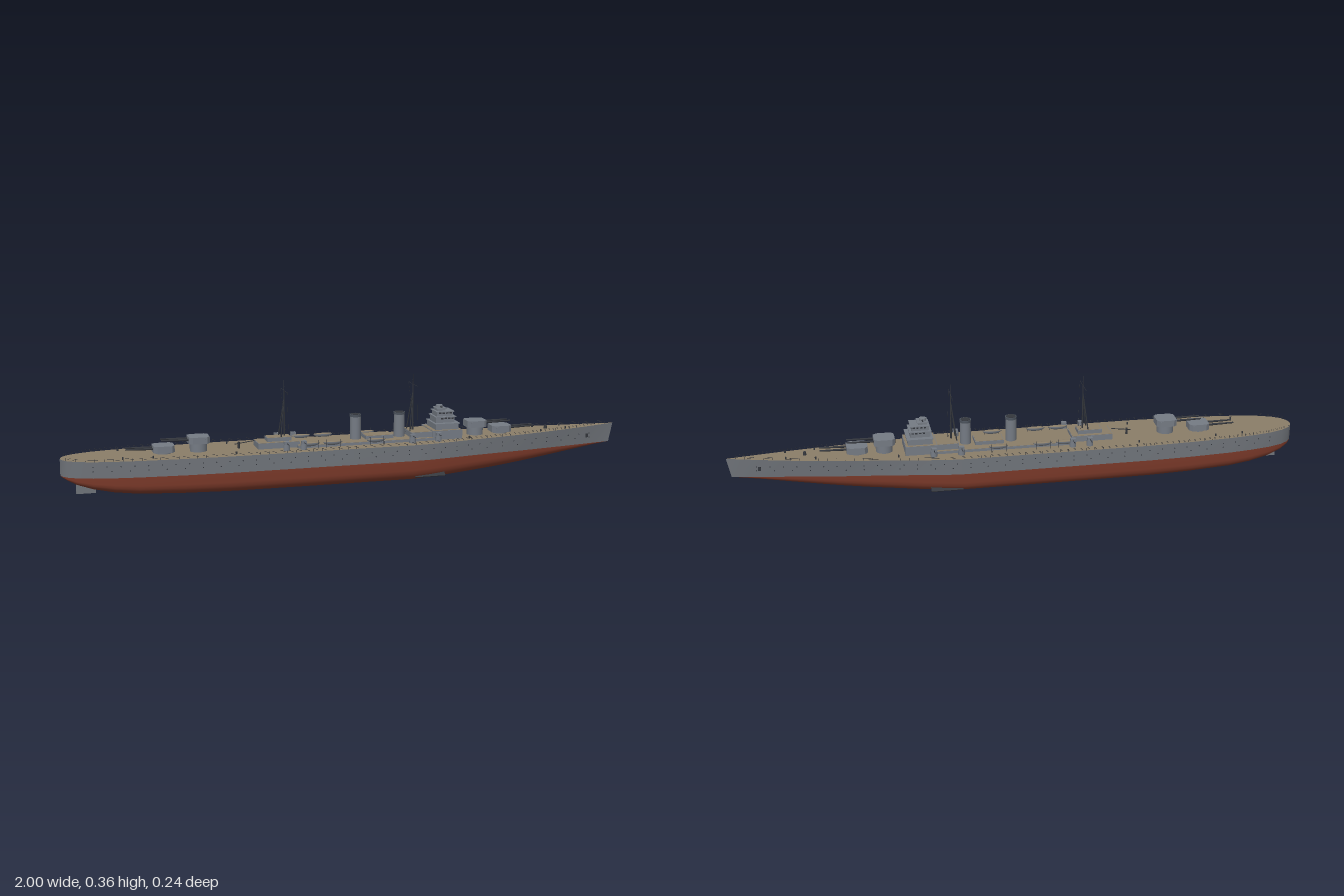
import * as THREE from 'three';
import { mergeGeometries } from 'three/addons/utils/BufferGeometryUtils.js';

const WL = 0.077;
// Hull stations: x, half width at deck, half width at waterline, keel height
const ST = [
  [-1, 0, 0, 0.077], [-0.995, 0.022, 0.02, 0.073], [-0.98, 0.043, 0.04, 0.064], [-0.95, 0.063, 0.06, 0.049],
  [-0.9, 0.081, 0.078, 0.033], [-0.83, 0.094, 0.092, 0.019], [-0.75, 0.104, 0.103, 0.01], [-0.6, 0.114, 0.114, 0.004],
  [-0.45, 0.12, 0.12, 0.001], [-0.2, 0.12, 0.12, 0], [0.2, 0.12, 0.12, 0], [0.26, 0.116, 0.115, 0.002],
  [0.34, 0.105, 0.103, 0.005], [0.42, 0.092, 0.089, 0.01], [0.52, 0.08, 0.075, 0.018], [0.62, 0.069, 0.062, 0.029],
  [0.7, 0.057, 0.049, 0.039], [0.78, 0.044, 0.036, 0.05], [0.86, 0.029, 0.022, 0.061], [0.94, 0.013, 0.009, 0.071],
  [1, 0, 0, 0.077]];

function station(x) {
  let i = 0;
  while (i < ST.length - 2 && ST[i + 1][0] < x) i++;
  const t = (x - ST[i][0]) / (ST[i + 1][0] - ST[i][0]);
  return ST[i].map((v, k) => v + (ST[i + 1][k] - v) * t);
}
const deckY = x => 0.133 + 0.012 * Math.max(0, (x - 0.3) / 0.7) ** 1.5;
const wlX = x => x - 0.1 * Math.max(0, x - 0.85);
const halfAt = (x, y) => {
  const s = station(x), t = (y - WL) / (deckY(x) - WL);
  return s[2] + (s[1] - s[2]) * t;
};

// Surface through cross-sections running from stern to bow
function loft(section) {
  const pos = [], idx = [];
  const rows = ST.map(section), n = rows[0].length;
  rows.forEach(r => r.forEach(p => pos.push(...p)));
  for (let i = 0; i < rows.length - 1; i++) for (let j = 0; j < n - 1; j++) {
    const a = i * n + j, b = a + n;
    idx.push(a, a + 1, b, a + 1, b + 1, b);
  }
  const g = new THREE.BufferGeometry();
  g.setAttribute('position', new THREE.Float32BufferAttribute(pos, 3));
  g.setIndex(idx);
  g.computeVertexNormals();
  return g;
}

// Cylinder between two points
function rod(a, b, r, r2 = r, sides = 6) {
  const p = new THREE.Vector3(...a), d = new THREE.Vector3(...b).sub(p);
  const g = new THREE.CylinderGeometry(r2, r, d.length(), sides);
  g.applyQuaternion(new THREE.Quaternion().setFromUnitVectors(new THREE.Vector3(0, 1, 0), d.clone().normalize()));
  const m = p.addScaledVector(d, 0.5);
  return g.translate(m.x, m.y, m.z);
}
const block = (x0, x1, y0, y1, w) =>
  new THREE.BoxGeometry(x1 - x0, y1 - y0, w * 2).translate((x0 + x1) / 2, (y0 + y1) / 2, 0);

export function createModel() {
  const ship = new THREE.Group();
  ship.name = 'warship';
  const mat = (name, color) => Object.assign(new THREE.MeshStandardMaterial({ color }), { name });
  const grey = mat('hull grey', 0x70747a), red = mat('antifouling red', 0x7c3a2a), tan = mat('deck planking', 0x8a7d68);
  const steel = mat('superstructure grey', 0x757b84), dark = mat('dark metal', 0x34373d), smoke = mat('funnel cap', 0x4b525c);
  const add = (name, geo, m, parent = ship) => {
    const mesh = new THREE.Mesh(Array.isArray(geo) ? mergeGeometries(geo) : geo, m);
    mesh.name = name;
    parent.add(mesh);
    return mesh;
  };

  // Hull sides, underwater body and deck
  add('leftTopside', loft(([x, d, w]) => [[x, deckY(x), d], [wlX(x), WL, w]]), grey);
  add('rightTopside', loft(([x, d, w]) => [[wlX(x), WL, -w], [x, deckY(x), -d]]), grey);
  add('underwaterHull', loft(([x, d, w, k]) => {
    const e = 0.5 + 0.4 * Math.max(0, (x - 0.2) / 0.8);
    return Array.from({ length: 17 }, (_, j) => {
      const c = Math.cos(j * Math.PI / 16), s = Math.sin(j * Math.PI / 16);
      return [wlX(x), WL - (WL - k) * Math.abs(s) ** e, w * Math.sign(c) * Math.abs(c) ** e];
    });
  }), red);
  add('mainDeck', loft(([x, d]) => [[x, deckY(x), -d], [x, deckY(x), d]]), tan);
  add('rudder', block(-0.95, -0.885, 0.01, 0.05, 0.004), grey);
  for (const s of [-1, 1]) {
    const fin = add('bilgeFin', new THREE.BoxGeometry(0.11, 0.003, 0.02), dark);
    fin.position.set(0.26, 0.022, s * 0.104);
    fin.rotation.x = s * 0.6;
  }

  // Railings, portholes and anchors along both sides
  const rails = [], ports = [];
  for (const s of [-1, 1]) {
    for (let i = 0; i <= 64; i++) {
      const x = -0.985 + i * 0.0305, z = s * (station(x)[1] - 0.001), y = deckY(x);
      rails.push(rod([x, y, z], [x, y + 0.009, z], 0.0005, 0.0005, 4));
      if (i < 64) {
        const x2 = x + 0.0305, z2 = s * (station(x2)[1] - 0.001);
        for (const h of [0.005, 0.009]) rails.push(rod([x, y + h, z], [x2, deckY(x2) + h, z2], 0.00025, 0.00025, 3));
      }
    }
    for (const [y, step] of [[0.116, 0.045], [0.101, 0.06]]) for (let x = -0.9; x < 0.93; x += step) {
      const z = s * halfAt(x, y);
      ports.push(rod([x, y, z - 0.001], [x, y, z + 0.001], 0.002, 0.002, 8));
    }
    const a = add('anchor', new THREE.BoxGeometry(0.01, 0.014, 0.004), dark);
    a.position.set(0.89, 0.108, s * halfAt(0.89, 0.108));
    a.rotation.y = s * 0.22;
  }
  add('railings', rails, dark);
  add('portholes', ports, dark);

  // Twin gun turrets: centre x, base height, facing
  for (const [x, lift, dir] of [[0.557, 0, 1], [0.463, 0.024, 1], [-0.655, 0, -1], [-0.535, 0.024, -1]]) {
    const t = new THREE.Group();
    t.name = 'gunTurret';
    const base = deckY(x);
    t.position.set(x, base + lift, 0);
    t.rotation.y = dir > 0 ? 0 : Math.PI;
    ship.add(t);
    add('barbette', new THREE.CylinderGeometry(0.029, 0.029, lift + 0.006, 24).translate(0, 0.003 - lift / 2, 0), steel, t);
    const plan = new THREE.Shape([[-0.036, -0.022], [-0.026, -0.034], [0.024, -0.034], [0.036, -0.024],
      [0.036, 0.024], [0.024, 0.034], [-0.026, 0.034], [-0.036, 0.022]].map(p => new THREE.Vector2(...p)));
    add('gunHouse', new THREE.ExtrudeGeometry(plan, { depth: 0.023, bevelEnabled: false })
      .rotateX(-Math.PI / 2).translate(0, 0.005, 0), steel, t);
    add('gunBarrels', [-1, 1].map(s => rod([0.03, 0.018, s * 0.013], [0.128, 0.02, s * 0.013], 0.004, 0.0026, 10)), dark, t);
    add('rangefinder', rod([-0.022, 0.023, -0.038], [-0.022, 0.023, 0.038], 0.003, 0.003, 8), steel, t);
  }

  // Deckhouses with planked tops: x0, x1, y0, y1, half width
  const houses = [[-0.2, 0.29, 0.13, 0.142, 0.062], [-0.335, -0.19, 0.13, 0.153, 0.04], [-0.3, -0.215, 0.153, 0.167, 0.024],
    [0.05, 0.15, 0.142, 0.155, 0.03], [0.21, 0.3, 0.142, 0.162, 0.05], [0.285, 0.395, 0.13, 0.165, 0.058]];
  for (const [a, b, y0, y1, w] of houses) {
    add('deckhouse', block(a, b, y0, y1, w), steel);
    add('deckhouseTop', block(a + 0.002, b - 0.002, y1, y1 + 0.001, w - 0.002), tan);
  }

  // Stepped bridge tower with overhanging wings and windows
  const tiers = [[0.3, 0.385, 0.165, 0.188, 0.047], [0.305, 0.375, 0.188, 0.21, 0.033],
    [0.31, 0.37, 0.21, 0.228, 0.027], [0.315, 0.345, 0.228, 0.238, 0.018]];
  tiers.forEach(([a, b, y0, y1, w], i) => {
    add('bridgeTier', block(a, b, y0, y1, w), steel);
    add('bridgeWing', block(a - 0.003, b + 0.004, y1 - 0.003, y1, w + 0.005), steel);
    if (i < 1 || i > 2) return;
    const panes = [];
    for (let k = -3; k <= 3; k++) panes.push(new THREE.BoxGeometry(0.002, 0.005, w * 0.2).translate(b, y1 - 0.007, k * w * 0.27));
    for (const s of [-1, 1]) for (let k = 0; k < 4; k++)
      panes.push(new THREE.BoxGeometry(0.008, 0.005, 0.002).translate(b - 0.008 - k * 0.013, y1 - 0.007, s * w));
    add('bridgeWindows', panes, dark);
  });
  add('director', new THREE.CylinderGeometry(0.012, 0.013, 0.01, 16).translate(0.328, 0.242, 0), steel);
  add('directorRangefinder', rod([0.33, 0.242, -0.022], [0.33, 0.242, 0.022], 0.0025, 0.0025, 8), dark);

  // Funnels
  for (const x of [0.02, 0.18]) {
    add('funnel', new THREE.CylinderGeometry(0.019, 0.019, 0.09, 24).translate(x, 0.183, 0), steel);
    add('funnelCap', new THREE.CylinderGeometry(0.0203, 0.0203, 0.008, 24).translate(x, 0.226, 0), smoke);
    add('funnelMouth', new THREE.CylinderGeometry(0.017, 0.017, 0.001, 24).translate(x, 0.2305, 0), dark);
  }

  // Tripod masts with yard and rigging
  for (const x of [-0.235, 0.23]) {
    const top = [x, 0.326, 0], parts = [rod([x, 0.15, 0], top, 0.0035, 0.0018), rod(top, [x, 0.362, 0], 0.0012, 0.0006),
      rod([x, 0.326, -0.05], [x, 0.326, 0.05], 0.0008), rod([x, 0.34, -0.006], [x, 0.34, 0.006], 0.0006)];
    for (const s of [-1, 1]) {
      parts.push(rod([x - 0.018, 0.15, s * 0.022], [x, 0.3, 0], 0.0025, 0.0015));
      parts.push(rod([x, 0.326, s * 0.05], [x + 0.012, 0.16, s * 0.014], 0.0003, 0.0003, 3));
    }
    add('tripodMast', parts, dark);
  }

  // Side guns and ship's boats, mirrored
  for (const s of [-1, 1]) {
    for (const x of [-0.245, -0.185, 0.205, 0.3]) {
      add('sideGunMount', new THREE.CylinderGeometry(0.011, 0.012, 0.02, 12).translate(x, 0.143, s * 0.076), steel);
      add('sideGunShield', new THREE.BoxGeometry(0.018, 0.012, 0.014).translate(x, 0.157, s * 0.077), steel);
      add('sideGunBarrel', rod([x, 0.157, s * 0.077], [x, 0.158, s * 0.11], 0.0016, 0.0012), dark);
    }
    for (const x of [-0.16, -0.08, 0.075]) {
      const hull = new THREE.SphereGeometry(1, 16, 6, 0, Math.PI * 2, Math.PI / 2, Math.PI / 2).scale(0.034, 0.012, 0.009);
      add('boatHull', hull.translate(x, 0.152, s * 0.068), steel);
      add('boatCover', new THREE.SphereGeometry(1, 16, 4, 0, Math.PI * 2, 0, Math.PI / 2).scale(0.034, 0.003, 0.009)
        .translate(x, 0.152, s * 0.068), tan);
      add('boatDavits', [-1, 1].map(d => rod([x + d * 0.025, 0.132, s * 0.08], [x + d * 0.025, 0.162, s * 0.078], 0.001)), dark);
    }
    for (const x of [-0.8, -0.7, -0.42, 0.42, 0.7, 0.8])
      add('bollard', new THREE.CylinderGeometry(0.003, 0.003, 0.008, 8)
        .translate(x, deckY(x) + 0.004, s * station(x)[1] * 0.7), dark);
  }
  add('capstan', new THREE.CylinderGeometry(0.005, 0.006, 0.012, 12).translate(0.735, deckY(0.735) + 0.006, 0), dark);
  add('aftCrane', [rod([-0.395, 0.133, 0], [-0.395, 0.155, 0], 0.004), rod([-0.41, 0.148, 0], [-0.34, 0.157, 0], 0.0015)], dark);
  return ship;
}
